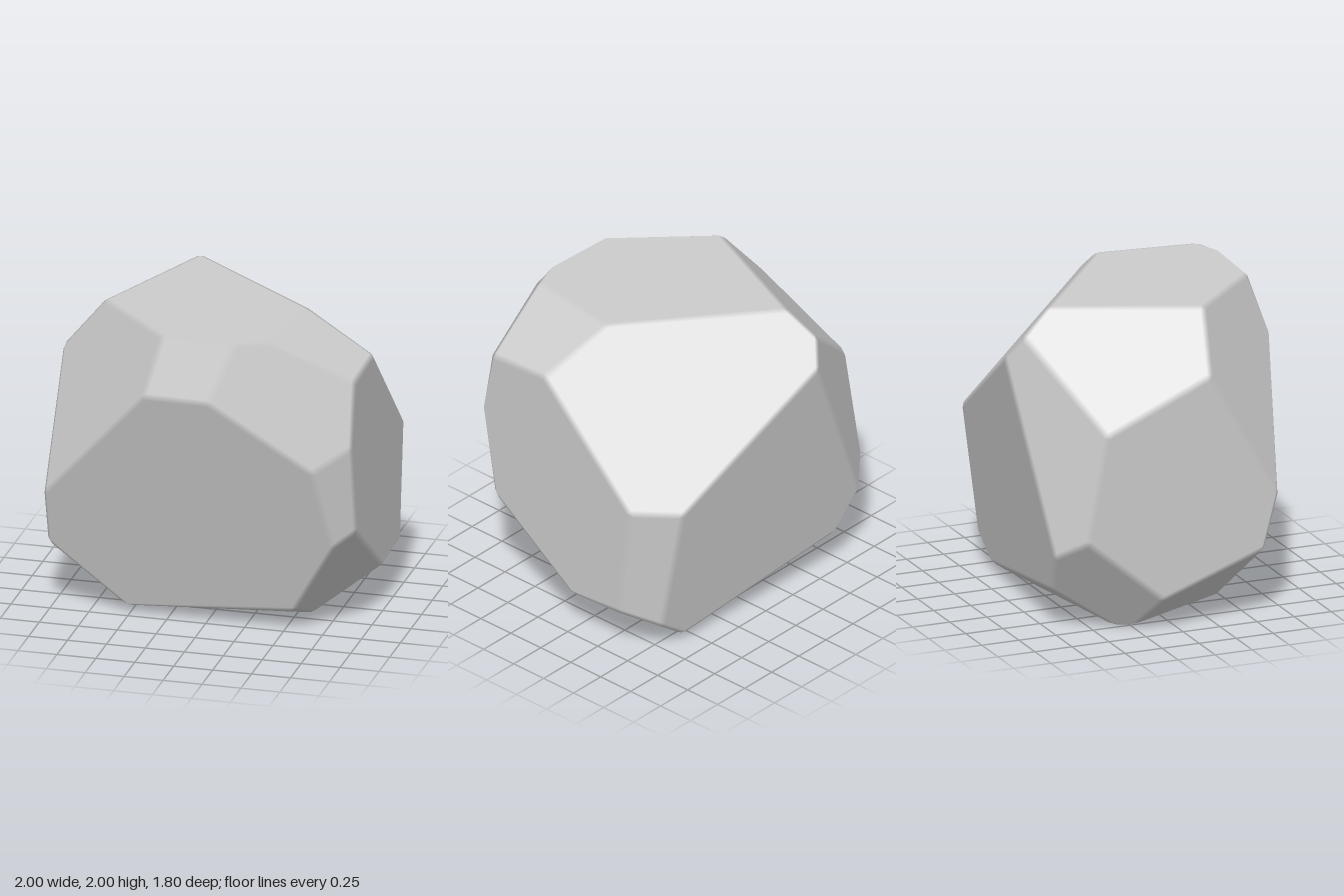
import * as THREE from 'three';
import { ConvexGeometry } from 'three/addons/geometries/ConvexGeometry.js';

// Corners of the cut boulder
const C = {
  // flat top
  t1: [-0.34, 2, -0.63], t2: [0.54, 2, 0.08], t3: [0.46, 2, 0.74],
  t4: [0.27, 2, 0.79], t5: [-0.2, 2, 0.78], t6: [-0.71, 2, 0.27],
  // front
  f1: [-0.3, 1.62, 0.89], f2: [0.12, 1.62, 0.905], f3: [0.76, 1.19, 0.81], f4: [0.86, 0.65, 0.67],
  f5: [0.57, 0.15, 0.515], f6: [-0.52, 0.04, 0.44], f7: [-1, 0.47, 0.555], f8: [-1, 0.82, 0.645],
  // +x side
  r1: [1, 1.76, 0.64], r2: [1, 1.78, 0.2], r3: [1, 1.08, -0.51], r4: [1, 0.32, -0.43],
  r5: [1, 0.3, -0.03], r6: [1, 0.76, 0.61], r7: [1, 1.35, 0.71],
  // -x side
  l1: [-1, 1.64, 0.19], l2: [-1, 1.33, -0.51], l3: [-1, 0.65, -0.64], l4: [-1, 0.22, -0.13],
  // back
  k1: [-0.4, 1.85, -0.82], k2: [-0.31, 1.7, -0.91], k3: [0.75, 1.05, -0.74], k4: [0.8, 0.2, -0.61],
  k5: [0.6, 0.06, -0.61], k6: [-0.66, 0.27, -0.74], k7: [-0.82, 0.52, -0.79],
  // base
  b1: [0.62, 0.04, 0.23], b2: [0.57, 0, 0.17], b3: [0.55, 0, -0.52],
  b4: [-0.72, 0, -0.34], b5: [-0.77, 0, -0.24],
};

// Each facet is a ring of corners
const FACETS = [
  't1 t2 t3 t4 t5 t6',        // top
  'f1 f2 f3 f4 f5 f6 f7 f8',  // front
  'r1 r2 r3 r4 r5 r6 r7',     // +x side
  'l1 l2 l3 l4 f7 f8',        // -x side
  'k2 k3 k4 k5 k6 k7',        // back
  'b2 b3 b4 b5',              // base
  't5 t4 f2 f1',              // upper front
  't4 t3 r1 r7 f3 f2',        // upper front, +x
  't2 t3 r1 r2',              // upper +x
  't1 t2 r2 r3 k3 k2 k1',     // upper back
  't1 k1 l2 l1 t6',           // upper -x
  't6 t5 f1 f8 l1',           // upper front, -x
  'f3 r7 r6 f4',              // front edge, +x
  'f4 r6 r5 b1 f5',           // lower front, +x
  'r5 r4 k4 k5 b3 b2 b1',     // lower +x
  'r3 r4 k4 k3',              // back edge, +x
  'k1 l2 l3 k7 k2',           // back edge, -x
  'l3 l4 b5 b4 k6 k7',        // lower back, -x
  'k5 b3 b4 k6',              // lower back
  'f7 f6 b5 l4',              // lower front, -x
  'f5 b1 b2 b5 f6',           // lower front
];

const BEVEL = 0.028;

// Unit normal of a ring of points, turned away from the middle of the rock
function facetNormal(ring) {
  const n = new THREE.Vector3();
  const mid = new THREE.Vector3();
  ring.forEach((p, i) => {
    n.add(p.clone().cross(ring[(i + 1) % ring.length]));
    mid.addScaledVector(p, 1 / ring.length);
  });
  n.normalize();
  mid.y -= 1;
  return n.dot(mid) < 0 ? n.negate() : n;
}

// Pull a corner inward along both of its edges to leave room for the bevel
function insetCorner(ring, i) {
  const p = ring[i];
  const out = p.clone();
  for (const step of [1, ring.length - 1]) {
    const edge = ring[(i + step) % ring.length].clone().sub(p);
    const length = edge.length();
    out.addScaledVector(edge, Math.min(BEVEL, length * 0.3) / length);
  }
  return out;
}

function bevelledRock() {
  const points = [];
  const normals = [];
  for (const facet of FACETS) {
    const ring = facet.split(' ').map((name) => new THREE.Vector3(...C[name]));
    const n = facetNormal(ring);
    ring.forEach((_, i) => {
      points.push(insetCorner(ring, i));
      normals.push(n);
    });
  }
  const geometry = new ConvexGeometry(points);

  // Facets keep their own normal, so the narrow bevels blend smoothly between them
  const pos = geometry.attributes.position;
  const v = new THREE.Vector3();
  for (let i = 0; i < pos.count; i++) {
    v.fromBufferAttribute(pos, i);
    let best = 0;
    points.forEach((p, j) => {
      if (p.distanceToSquared(v) < points[best].distanceToSquared(v)) best = j;
    });
    geometry.attributes.normal.setXYZ(i, normals[best].x, normals[best].y, normals[best].z);
  }
  return geometry;
}

export function createModel() {
  const group = new THREE.Group();
  group.name = 'rock';
  const boulder = new THREE.Mesh(bevelledRock(), new THREE.MeshStandardMaterial({ color: 0xcccccc }));
  boulder.name = 'boulder';
  group.add(boulder);
  return group;
}
